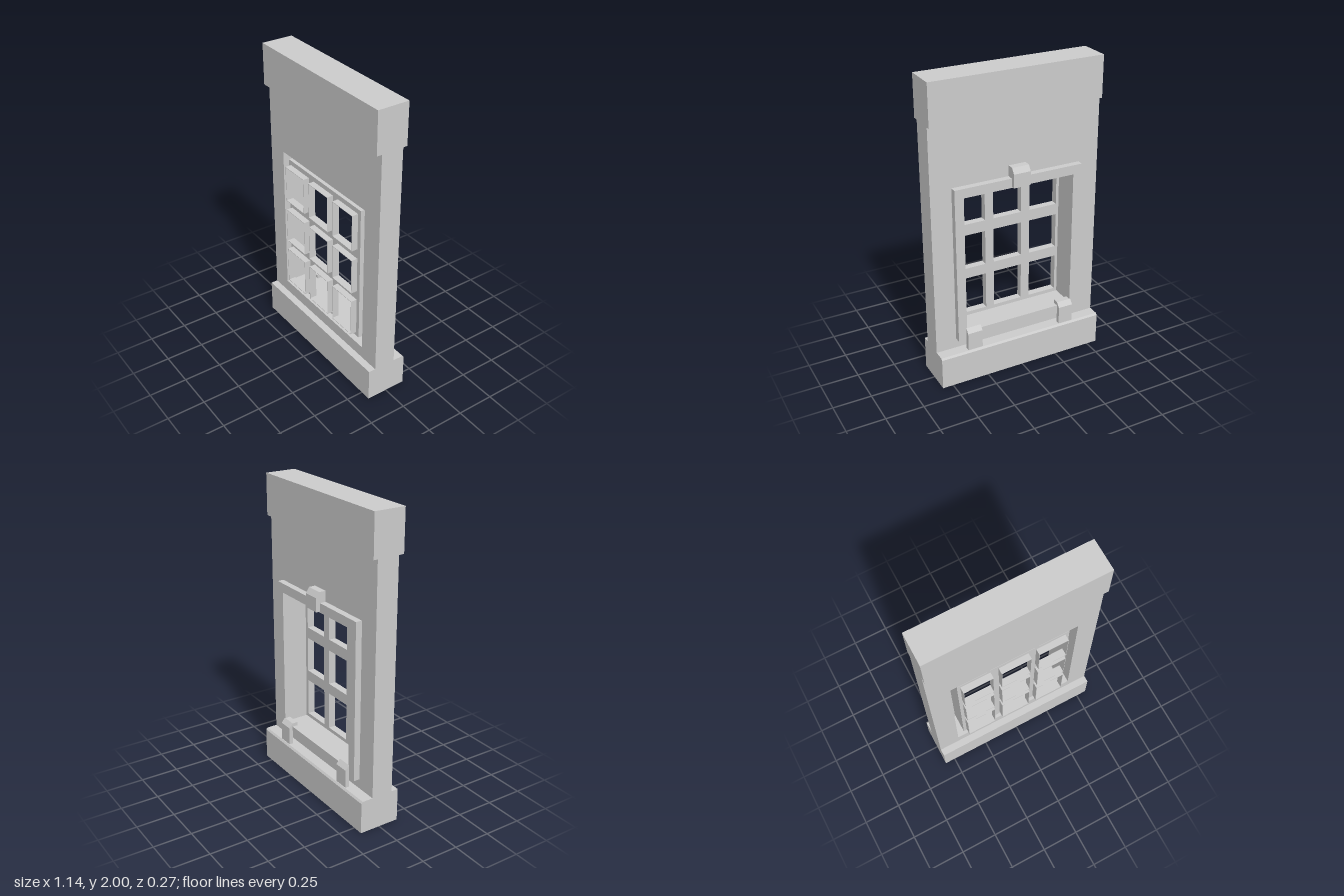
import * as THREE from 'three';

const material = new THREE.MeshStandardMaterial({ color: 0xcccccc, flatShading: true, side: THREE.DoubleSide });

// Rectangle outline from its four edges
function rect(Type, x0, x1, y0, y1) {
  return new Type([[x0, y0], [x1, y0], [x1, y1], [x0, y1]].map(([x, y]) => new THREE.Vector2(x, y)));
}

// Rectangular panel with rectangular holes, between two depths
function panel(outer, holes, zBack, zFront) {
  const shape = rect(THREE.Shape, ...outer);
  for (const h of holes) shape.holes.push(rect(THREE.Path, ...h));
  return new THREE.ExtrudeGeometry(shape, { depth: zFront - zBack, bevelEnabled: false }).translate(0, 0, zBack);
}

// [z, y] profile swept along x, from x0 to x1
function sweep(profile, x0, x1) {
  const shape = new THREE.Shape(profile.map(([z, y]) => new THREE.Vector2(z, y)));
  return new THREE.ExtrudeGeometry(shape, { depth: x1 - x0, bevelEnabled: false })
    .rotateY(-Math.PI / 2).translate(x1, 0, 0);
}

export function createModel() {
  const group = new THREE.Group();
  const add = (name, geometry) => {
    const mesh = new THREE.Mesh(geometry, material);
    mesh.name = name;
    group.add(mesh);
  };
  const W = 0.57;
  const opening = [-0.43, 0.43, 0.3, 1.31];
  const casing = [-0.38, 0.38, 0.34, 1.275];
  const casingInner = [-0.374, 0.374, 0.346, 1.269];

  // Wall with its plinth and top beam
  add('wall', panel([-W, W, 0.22, 1.73], [opening], -0.055, 0.09));
  add('plinth', sweep([[0.137, 0], [0.137, 0.22], [-0.127, 0.22], [-0.137, 0.208], [-0.137, 0]], -W, W));
  add('topBeam', sweep([[0.125, 1.73], [0.125, 2], [-0.083, 2], [-0.083, 1.73]], -W, W));

  // Raised surround on the back and the deep casing through the wall
  add('backSurround', panel([-0.433, 0.433, 0.285, 1.33], [casing], -0.097, -0.055));
  add('casing', panel(casing, [casingInner], -0.097, 0.08));

  // Window grid with a thin raised lip around each pane
  const columns = [[-0.355, -0.16], [-0.1, 0.097], [0.155, 0.35]];
  const rows = [[0.37, 0.62], [0.69, 0.925], [1.0, 1.24]];
  const panes = rows.flatMap(r => columns.map(c => [...c, ...r]));
  add('windowGrid', panel(casing, panes, 0.074, 0.08));
  const t = 0.003;
  for (const [x0, x1, y0, y1] of panes) {
    add('paneLip', panel([x0 - t, x1 + t, y0 - t, y1 + t], [[x0, x1, y0, y1]], 0.078, 0.122));
  }

  // Hooked clips holding the surround
  add('topClip', sweep([[-0.05, 1.4], [-0.1, 1.4], [-0.123, 1.365], [-0.123, 1.275],
    [-0.095, 1.275], [-0.095, 1.33], [-0.05, 1.33]], -0.058, 0.056));
  for (const x of [-0.33, 0.33]) {
    add('bottomClip', sweep([[-0.06, 0.37], [-0.097, 0.37], [-0.123, 0.34], [-0.123, 0.21],
      [-0.095, 0.21], [-0.095, 0.345], [-0.06, 0.345]], x - 0.05, x + 0.05));
  }
  return group;
}
